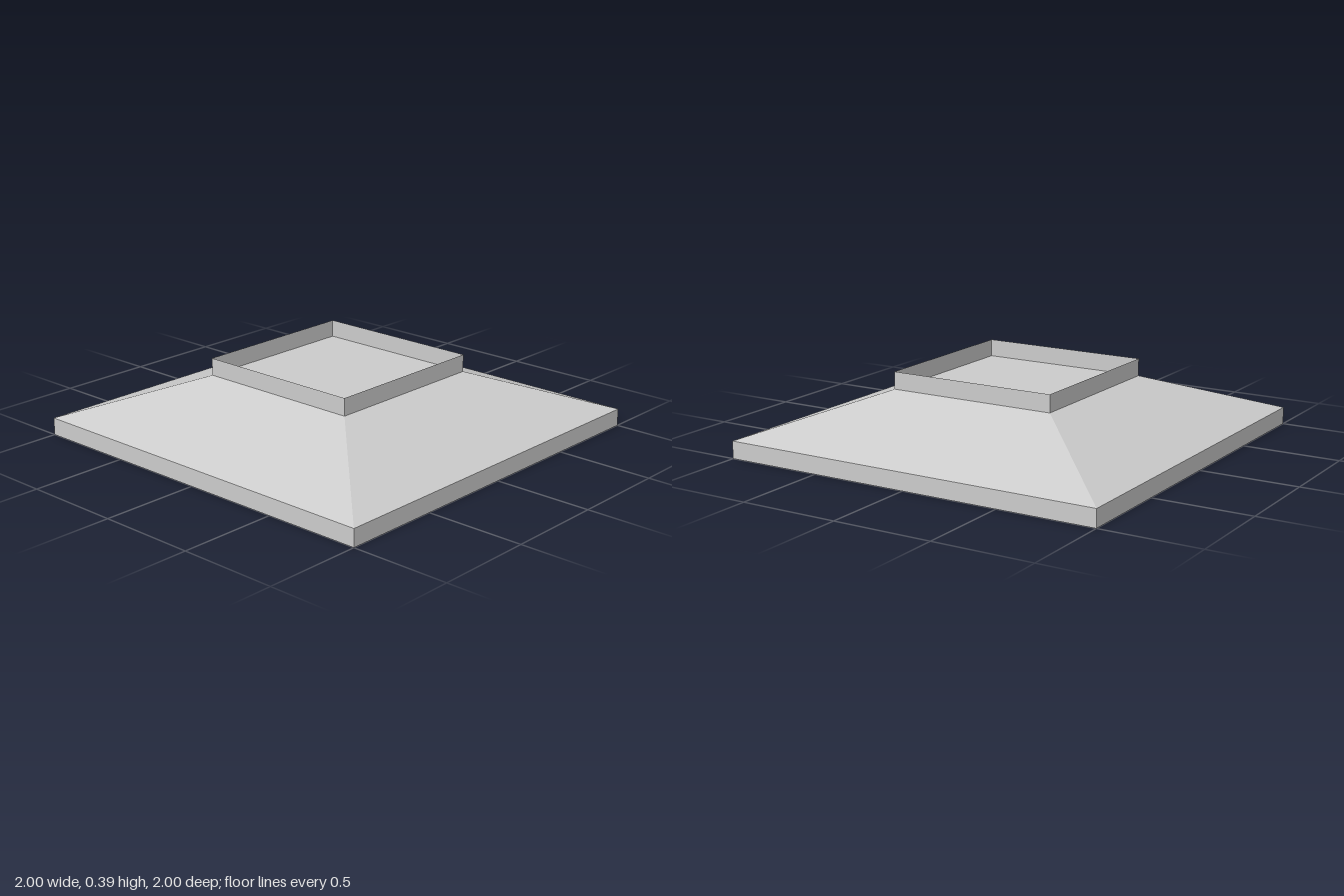
import * as THREE from 'three';

// Square-plan solid: a four-sided lathe turned so its flats face the axes.
// Profile points are [half width, height], from bottom to top.
function squareLathe(name, profile, side) {
  const points = profile.map(([half, y]) => new THREE.Vector2(half * Math.SQRT2, y));
  const geometry = new THREE.LatheGeometry(points, 4, Math.PI / 4);
  const material = new THREE.MeshStandardMaterial({ color: 0xcccccc, flatShading: true, side });
  const mesh = new THREE.Mesh(geometry, material);
  mesh.name = name;
  return mesh;
}

export function createModel() {
  const half = 1, collarHalf = 0.44;
  const slabTop = 0.088, slopeTop = 0.3, collarTop = 0.388;

  const model = new THREE.Group();
  model.name = 'squarePlinth';

  // Slab, sloping sides and the floor inside the collar
  model.add(squareLathe('slopedBase', [
    [0, 0], [half, 0], [half, slabTop], [collarHalf, slopeTop], [0, slopeTop],
  ], THREE.FrontSide));

  // Thin upright rim, open at the top
  model.add(squareLathe('collar', [
    [collarHalf, slopeTop], [collarHalf, collarTop],
  ], THREE.DoubleSide));

  return model;
}
